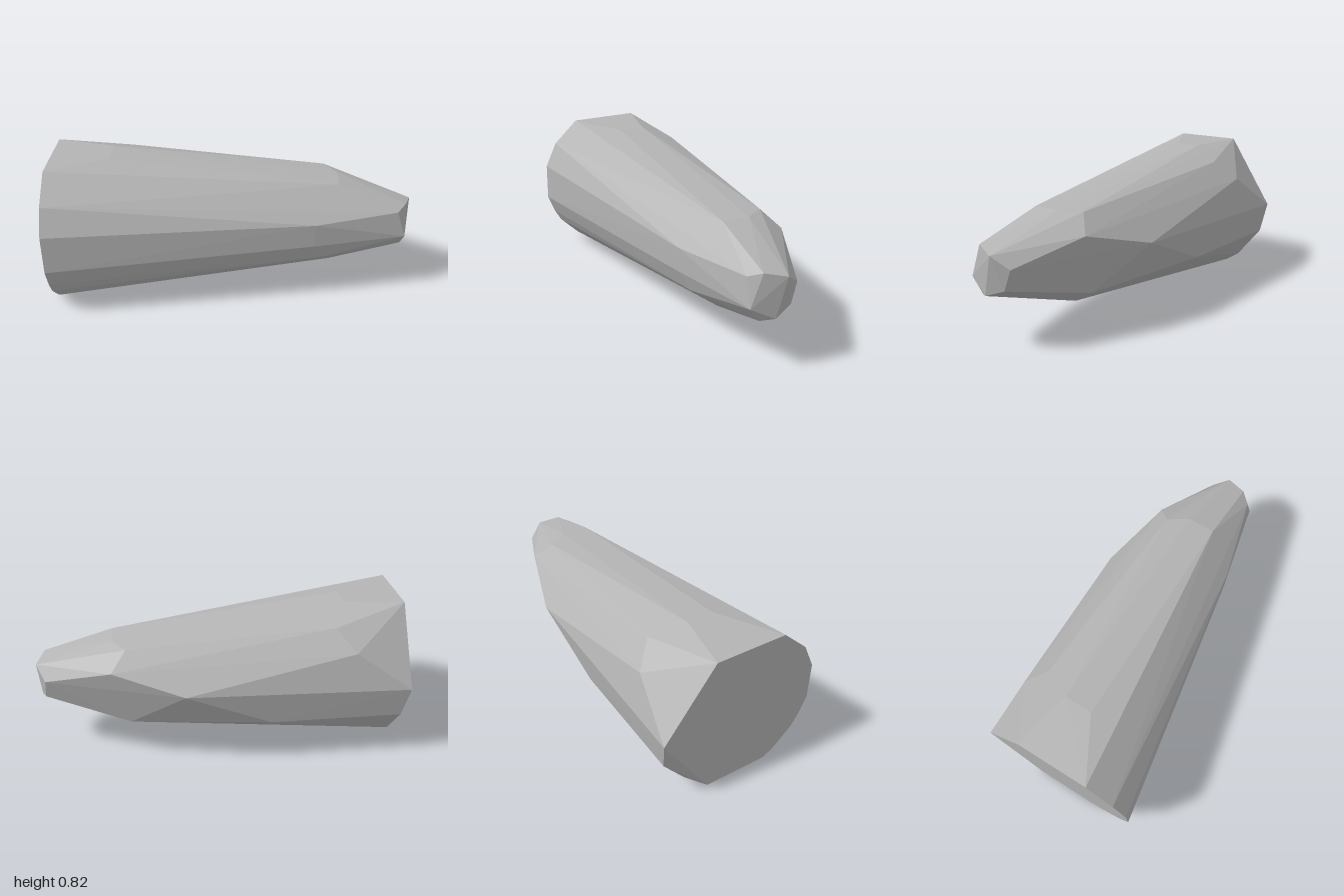
import * as THREE from 'three';
import { ConvexGeometry } from 'three/addons/geometries/ConvexGeometry.js';

const points = (rows) => rows.map(([x, y, z]) => new THREE.Vector3(x, y, z));

export function createModel() {
  const group = new THREE.Group();
  group.name = 'taperedStone';

  const stone = new THREE.MeshStandardMaterial({ color: 0xb4b4b4, flatShading: true });
  stone.name = 'stone grey';

  // Flat broad end: [y, z] outline at x = -1
  const base = points([
    [0.82, -0.17], [0.815, 0.22], [0.68, 0.365], [0.535, 0.435], [0.32, 0.44], [0.215, 0.4],
    [0.145, 0.36], [0.035, 0.25], [0.003, 0.19], [0.005, -0.165], [0.43, -0.44],
  ].map(([y, z]) => [-1, y, z]));

  // Chipped corners just past the broad end
  const shoulder = points([
    [-0.68, 0.81, 0.04], [-0.68, 0.812, -0.11], [-0.6, 0.74, -0.28], [-0.7, 0.635, -0.385],
    [-0.965, 0.26, -0.415], [-0.95, 0.08, -0.275], [-0.78, 0.004, -0.1],
  ]);

  // Long back ridge, ending where the tip is cut away
  const ridge = points([[0.21, 0.46, -0.44], [-0.25, 0.26, -0.415]]);

  // Neck where the taper steepens
  const neck = points([
    [0.58, 0.655, 0.02], [0.58, 0.655, -0.13], [0.51, 0.652, -0.24], [0.59, 0.56, -0.325],
    [0.5, 0.23, -0.28], [0.5, 0.16, -0.17], [0.55, 0.165, 0.02], [0.5, 0.265, 0.155],
    [0.44, 0.36, 0.2], [0.45, 0.495, 0.2],
  ]);

  // Blunt faceted tip
  const tip = points([
    [0.96, 0.54, 0.02], [1, 0.515, -0.095], [0.91, 0.515, 0.08], [0.96, 0.365, 0.085],
    [0.95, 0.285, 0.025], [0.99, 0.3, -0.04], [0.96, 0.34, -0.145], [0.95, 0.45, -0.18],
  ]);

  const body = new THREE.Mesh(
    new ConvexGeometry([...base, ...shoulder, ...ridge, ...neck, ...tip]), stone);
  body.name = 'stoneBody';
  group.add(body);
  return group;
}
